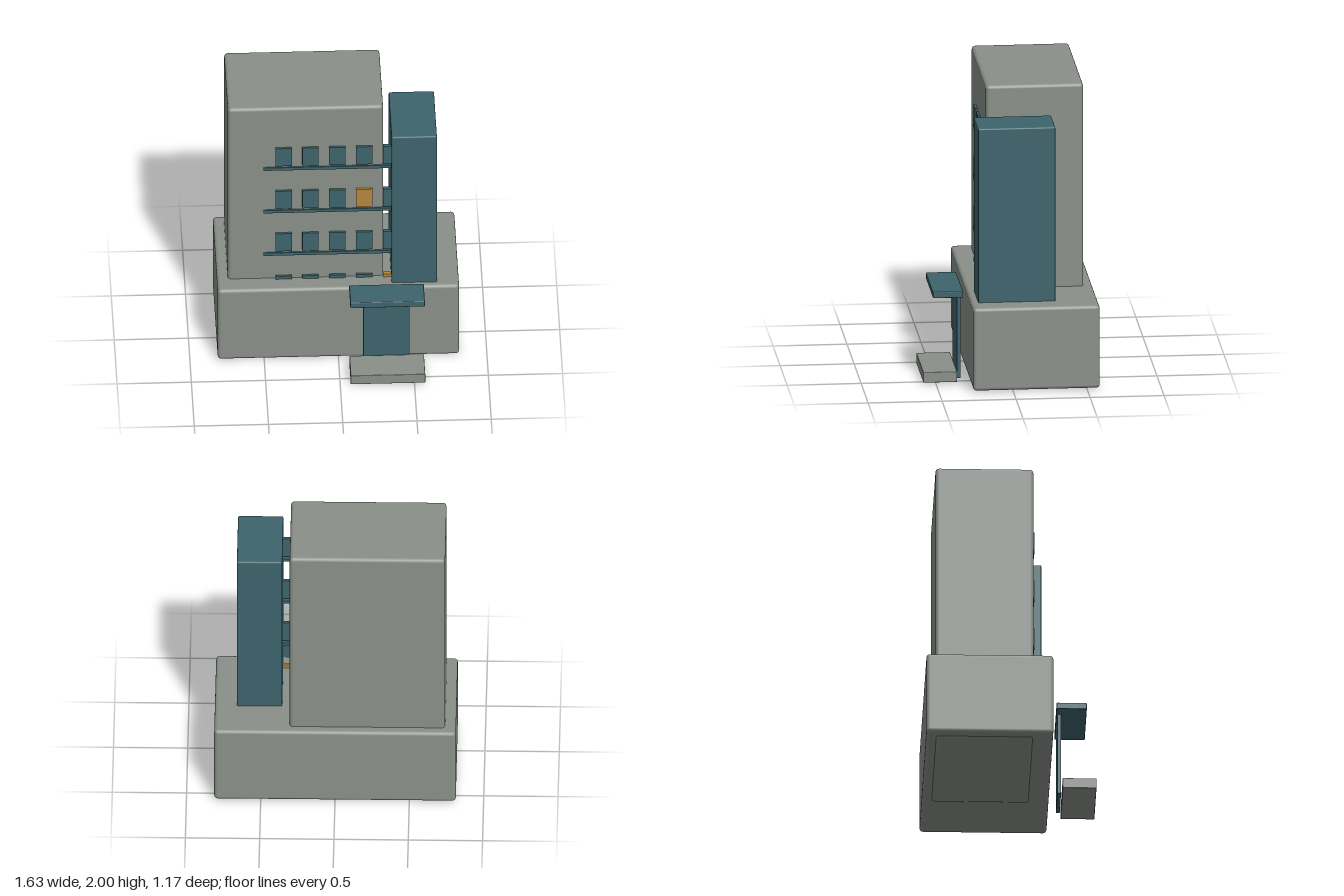
import * as THREE from 'three';
import { RoundedBoxGeometry } from 'three/addons/geometries/RoundedBoxGeometry.js';

export function createModel() {
  const model = new THREE.Group();
  model.name = 'officeBuilding';

  const material = (name, color) => {
    const m = new THREE.MeshStandardMaterial({ color });
    m.name = name;
    return m;
  };
  const concrete = material('concrete grey', 0x8a9089);
  const teal = material('dark teal', 0x3d646c);
  const amber = material('lit amber', 0xb3863f);

  // Box given by its extents on each axis, with optionally rounded edges
  function block(name, mat, [x0, x1], [y0, y1], [z0, z1], radius = 0) {
    const size = [x1 - x0, y1 - y0, z1 - z0];
    const geometry = radius
      ? new RoundedBoxGeometry(...size, 2, radius)
      : new THREE.BoxGeometry(...size);
    const mesh = new THREE.Mesh(geometry, mat);
    mesh.name = name;
    mesh.position.set((x0 + x1) / 2, (y0 + y1) / 2, (z0 + z1) / 2);
    model.add(mesh);
  }

  // Main masses
  block('podium', concrete, [-0.813, 0.813], [0.01, 0.587], [-0.585, 0.27], 0.024);
  block('tower', concrete, [-0.74, 0.306], [0, 2], [-0.522, 0.137], 0.024);
  block('stairShaft', teal, [0.36, 0.665], [0.1, 1.8], [-0.298, 0.223], 0.01);

  // Floors: a ledge and a row of windows each; the last window runs behind the shaft
  for (let floor = 0; floor < 4; floor++) {
    const y = 0.465 + floor * 0.355;
    block('ledge', teal, [-0.5, 0.5], [y - 0.04, y - 0.017], [0.122, 0.147]);
    for (let col = 0; col < 5; col++) {
      const x = -0.365 + col * 0.181;
      const lit = (floor === 2 && col === 3) || (floor === 0 && col === 4);
      block(lit ? 'litWindow' : 'window', lit ? amber : teal,
        [x - 0.055, x + 0.055], [y, y + 0.146], [0.128, 0.153]);
    }
  }

  // Entrance
  block('door', teal, [0.164, 0.476], [0.015, 0.605], [0.325, 0.35]);
  block('canopy', teal, [0.07, 0.572], [0.6, 0.645], [0.317, 0.521], 0.006);
  block('doorStep', concrete, [0.07, 0.572], [0.013, 0.085], [0.358, 0.586], 0.004);

  return model;
}
